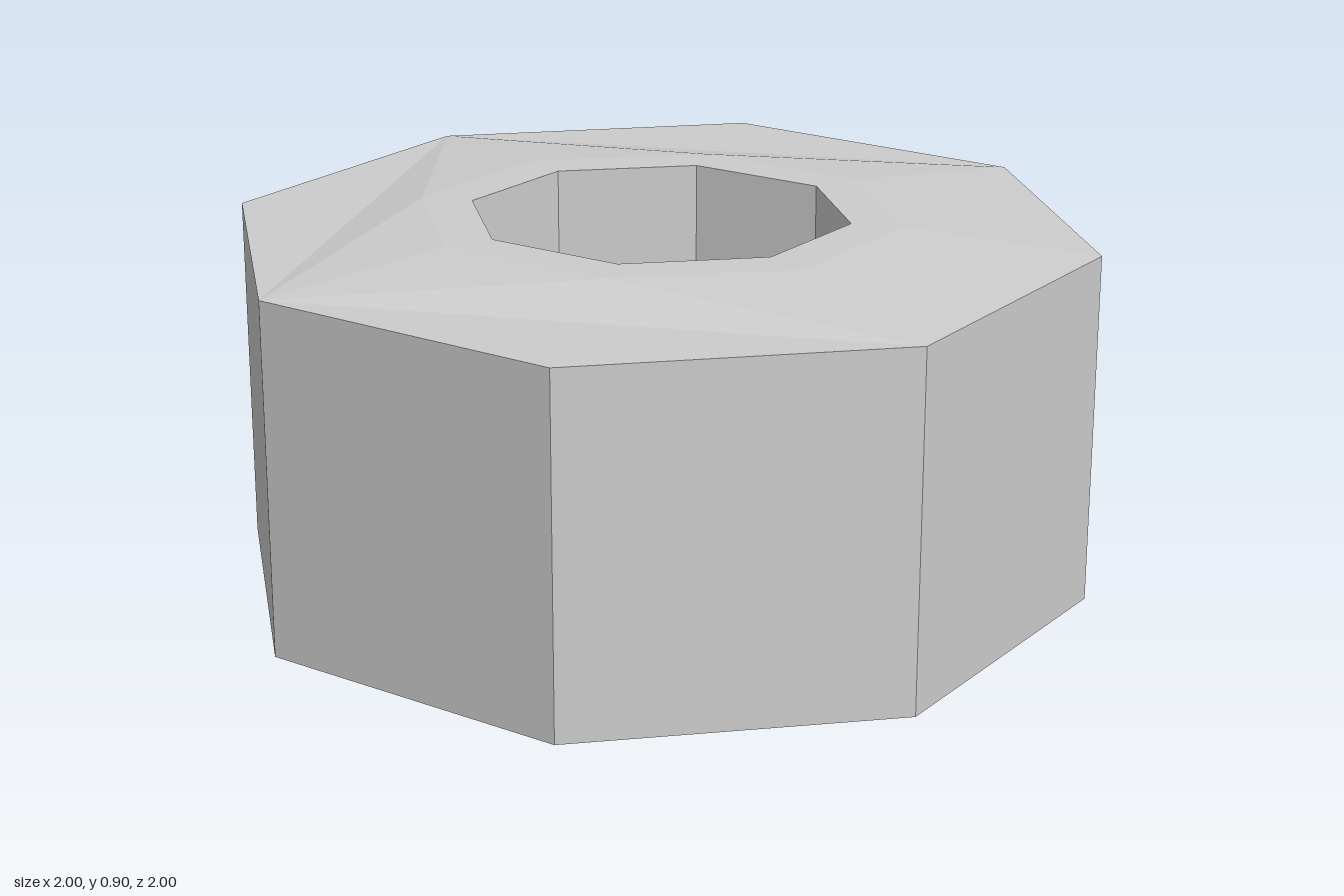
import * as THREE from 'three';

const SIDES = 8;
const LOW = 0.04, HIGH = 0.86, HEIGHT = 0.9;

// Octagonal ring of points with separate x and z radii
function ring(rx, rz, y) {
  return Array.from({ length: SIDES }, (_, i) => {
    const a = (i / SIDES) * Math.PI * 2;
    return new THREE.Vector3(rx * Math.cos(a), y, rz * Math.sin(a));
  });
}

// Unindexed triangles give every facet its own flat normal
function facets(name, triangles, material) {
  const geometry = new THREE.BufferGeometry().setFromPoints(triangles.flat());
  geometry.computeVertexNormals();
  const mesh = new THREE.Mesh(geometry, material);
  mesh.name = name;
  return mesh;
}

// Band of quads between two rings
function band(a, b) {
  const triangles = [];
  for (let i = 0; i < SIDES; i++) {
    const j = (i + 1) % SIDES;
    triangles.push([a[i], b[i], b[j]], [a[i], b[j], a[j]]);
  }
  return triangles;
}

// Shallow cone from the outer edge up to the rim. The even corners are cut
// off as flat triangles, except those listed in ridges, which rise to the rim.
function chamfer(outer, rim, ridges) {
  const triangles = [];
  for (let i = 0; i < SIDES; i += 2) {
    const prev = (i + SIDES - 1) % SIDES, next = (i + 1) % SIDES;
    if (ridges.includes(i)) {
      triangles.push([outer[i], outer[prev], rim[i]], [outer[next], outer[i], rim[i]]);
    } else {
      triangles.push([outer[next], outer[i], outer[prev]], [outer[next], outer[prev], rim[i]]);
    }
    triangles.push([outer[prev], rim[prev], rim[i]], [outer[next], rim[i], rim[next]]);
  }
  return triangles;
}

const flip = (triangles) => triangles.map(([a, b, c]) => [a, c, b]);

export function createModel() {
  const steel = new THREE.MeshStandardMaterial({ color: 0xcccccc, flatShading: true });
  steel.name = 'light grey';

  const outerLow = ring(1, 1, LOW), outerHigh = ring(1, 1, HIGH);
  const rimLow = ring(0.56, 0.525, 0), rimHigh = ring(0.56, 0.525, HEIGHT);
  const holeLow = ring(0.44, 0.415, 0), holeHigh = ring(0.44, 0.415, HEIGHT);

  const model = new THREE.Group();
  model.name = 'octagonalNut';
  model.add(
    facets('outerWall', band(outerLow, outerHigh), steel),
    facets('holeWall', band(holeHigh, holeLow), steel),
    facets('topChamfer', chamfer(outerHigh, rimHigh, [0]), steel),
    facets('topRim', band(rimHigh, holeHigh), steel),
    facets('bottomChamfer', flip(chamfer(outerLow, rimLow, [])), steel),
    facets('bottomRim', band(holeLow, rimLow), steel),
  );
  return model;
}
